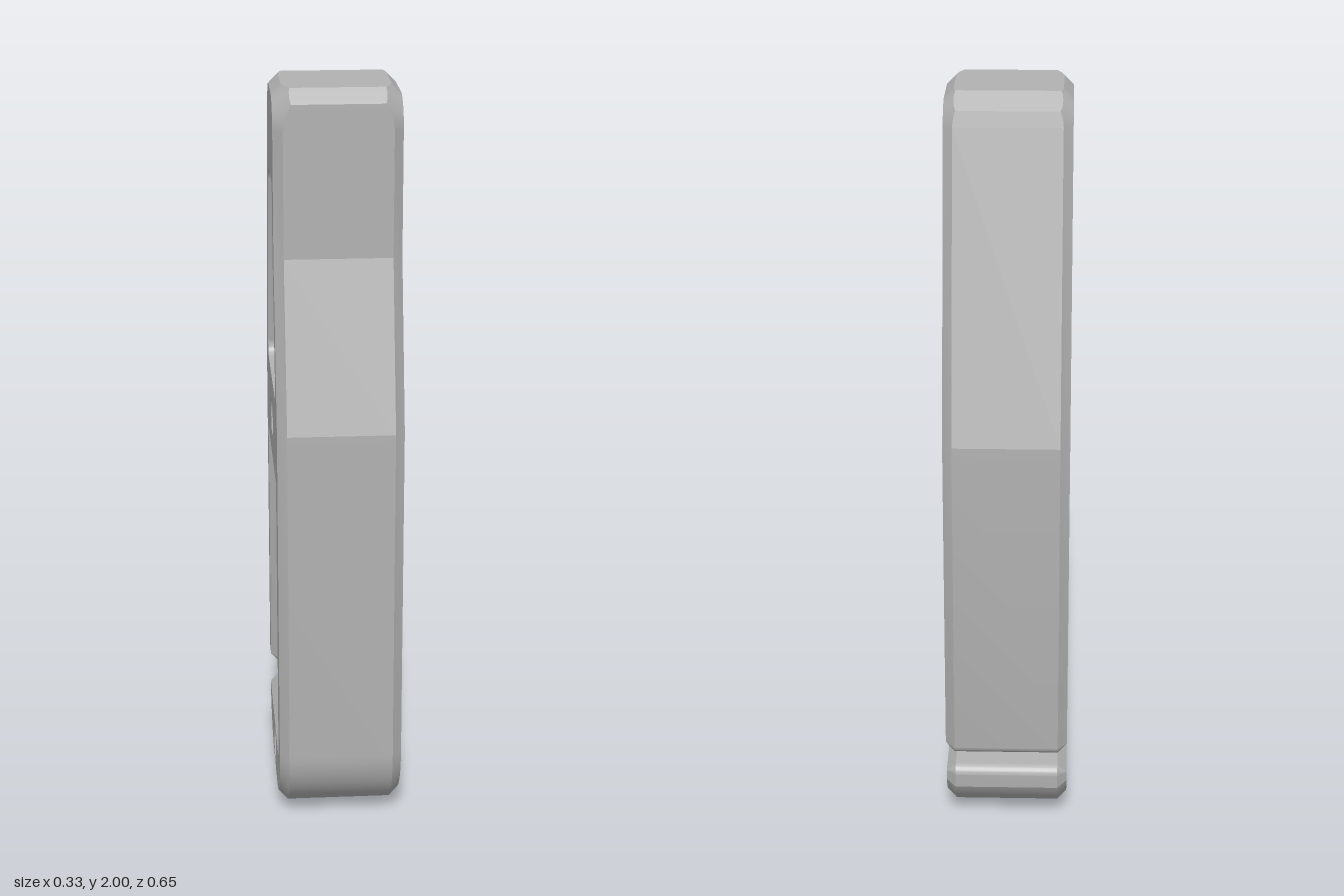
import * as THREE from 'three';
import { toCreasedNormals } from 'three/addons/utils/BufferGeometryUtils.js';

const HALF = 0.165;                       // half the thickness along x
const rad = THREE.MathUtils.degToRad;

// Profile points are [u, v]: u runs towards the back (u = -z), v is up.
const toWorld = ([u, v, x]) => [x, v, -u];
const at = (ring, x) => ring.map(([u, v]) => [u, v, x]);

// Wall between two matching rings, from low x to high x
function strip(out, lo, hi) {
  lo.forEach((a, i) => {
    const j = (i + 1) % lo.length;
    for (const p of [a, lo[j], hi[j], a, hi[j], hi[i]]) out.push(...toWorld(p));
  });
}

// Flat side face with holes
function cap(out, ring, holes, x) {
  const vec = (r) => r.map(([u, v]) => new THREE.Vector2(u, v));
  const all = [ring, ...holes].flat();
  for (const t of THREE.ShapeUtils.triangulateShape(vec(ring), holes.map(vec))) {
    const order = x > 0 ? t : [t[0], t[2], t[1]];
    for (const k of order) out.push(...toWorld([all[k][0], all[k][1], x]));
  }
}

function makeMesh(name, positions, material) {
  const g = new THREE.BufferGeometry();
  g.setAttribute('position', new THREE.Float32BufferAttribute(positions, 3));
  const mesh = new THREE.Mesh(toCreasedNormals(g, 0.2), material);
  mesh.name = name;
  return mesh;
}

// Each pair is [outer u, outer v, side-face u, side-face v]
function arc(cu, cv, outerR, capR, a0, a1, n = 12) {
  return Array.from({ length: n + 1 }, (_, i) => {
    const a = rad(a0 + ((a1 - a0) * i) / n), c = Math.cos(a), s = Math.sin(a);
    return [cu + outerR * c, cv + outerR * s, cu + capR * c, cv + capR * s];
  });
}

// Outer edge made of straight cuts [angle, distance] around a rounded side-face corner
function cutCorner(cu, cv, r, breaks, cuts) {
  const angles = [breaks[0]];
  for (let k = 1; k < breaks.length; k++)
    for (let i = 1; i <= 5; i++) angles.push(breaks[k - 1] + ((breaks[k] - breaks[k - 1]) * i) / 5);
  return angles.map((deg) => {
    const c = Math.cos(rad(deg)), s = Math.sin(rad(deg));
    const t = Math.min(...cuts.map(([a, d]) => d / Math.max(0.01, Math.cos(rad(deg - a)))));
    return [cu + t * c, cv + t * s, cu + r * c, cv + r * s];
  });
}

// Polygon with rounded corners
function roundedRing(points, r) {
  const v = points.map(([a, b]) => new THREE.Vector2(a, b));
  return v.flatMap((p, i) => {
    const toward = (q) => p.clone().add(q.clone().sub(p).setLength(r));
    const prev = v[(i + v.length - 1) % v.length], next = v[(i + 1) % v.length];
    return new THREE.QuadraticBezierCurve(toward(prev), p, toward(next))
      .getPoints(12).map((q) => [q.x, q.y]);
  });
}

// Clockwise circle, so its walls face inwards
const circle = (u, v, r) => Array.from({ length: 40 }, (_, i) => {
  const a = (-i / 40) * Math.PI * 2;
  return [u + r * Math.cos(a), v + r * Math.sin(a)];
});

export function createModel() {
  const group = new THREE.Group();
  group.name = 'clip';
  const grey = new THREE.MeshStandardMaterial({ color: 0xb2b2b2, side: THREE.DoubleSide });
  grey.name = 'grey';

  const pairs = [
    // underside of the crossbar
    [-0.215, 0.965, -0.215, 0.965], [0.215, 0.965, 0.24, 0.965],
    // back arm with rounded end
    ...arc(0.24, 0.255, 0.026, 0, 180, 270),
    ...arc(0.3, 0.255, 0.025, 0, 270, 360),
    [0.325, 1.13, 0.3, 1.127],
    // bevelled top
    ...cutCorner(0.028, 1.895, 0.08, [13.9, 35.2, 70.6, 90], [[13.9, 0.105], [54, 0.1067], [90, 0.105]]),
    ...cutCorner(-0.11, 1.895, 0.08, [90, 121.8, 146.3, 180], [[90, 0.105], [131.2, 0.122], [180, 0.105]]),
    // front edge
    [-0.215, 1.57, -0.19, 1.567], [-0.325, 1.13, -0.3, 1.127],
    // curved foot and hook
    ...arc(-0.115, 0.21, 0.21, 0.185, 180, 270, 18),
    ...arc(0.11, 0.21, 0.21, 0.185, 270, 332, 14),
    ...arc(0.273, 0.1495, 0.0255, 0, -10, 90),
    [-0.215, 0.175, -0.215, 0.15],
  ];
  // 45 degree chamfer: as deep as it is wide
  const outer = (side) => pairs.map(([a, b, c, d]) => [a, b, side * (HALF - Math.hypot(a - c, b - d))]);
  const face = pairs.map((p) => [p[2], p[3]]);

  const windowRing = roundedRing(
    [[-0.133, 1.75], [0.085, 1.75], [0.215, 1.19], [-0.222, 1.19], [-0.133, 1.57]], 0.05);
  const holeCentres = [[0, 1.075], [0, 0.09]];

  // body
  const body = [];
  strip(body, at(face, -HALF), outer(-1));
  strip(body, outer(-1), outer(1));
  strip(body, outer(1), at(face, HALF));
  strip(body, at(windowRing, -HALF), at(windowRing, HALF));
  cap(body, face, [windowRing], HALF);
  cap(body, face, [windowRing, ...holeCentres.map(([u, v]) => circle(u, v, 0.052))], -HALF);
  group.add(makeMesh('body', body, grey));

  // countersunk blind holes on one side
  const steps = [[0.052, -HALF], [0.03, -0.14], [0.03, -0.07], [0, -0.07]];
  holeCentres.forEach(([u, v], k) => {
    const hole = [];
    for (let i = 1; i < steps.length; i++) {
      const [lo, hi] = [steps[i - 1], steps[i]].map(([r, x]) => at(circle(u, v, r), x));
      strip(hole, lo, hi);
    }
    group.add(makeMesh(k ? 'lowerScrewHole' : 'upperScrewHole', hole, grey));
  });
  return group;
}
